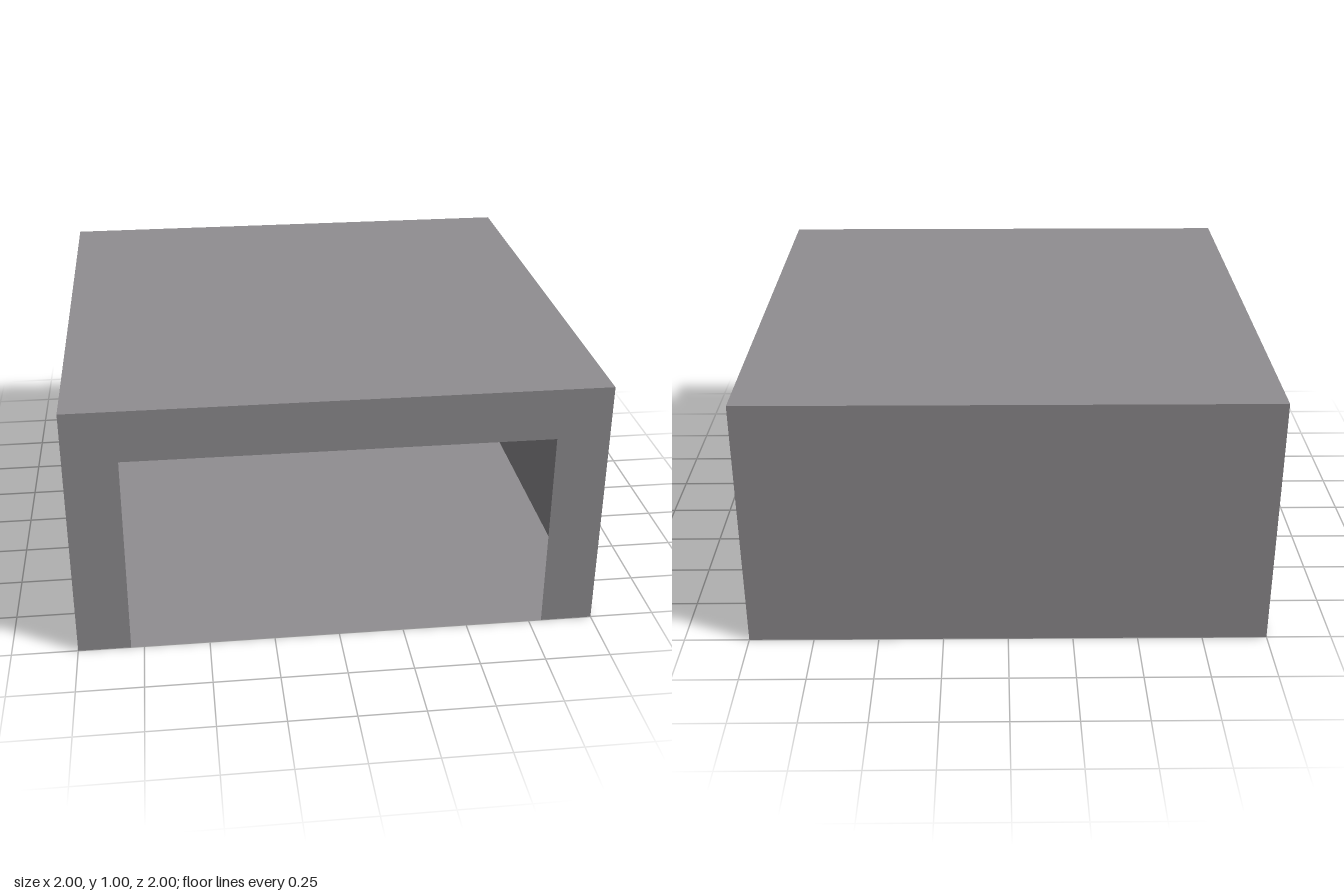
import * as THREE from 'three';

export function createModel() {
  const model = new THREE.Group();
  model.name = 'openFrontedBox';
  const grey = new THREE.MeshStandardMaterial({ color: 0x908e91, side: THREE.DoubleSide });
  grey.name = 'warm grey';

  // Thin panels of the hollow shell, each turned to face outward
  const panel = (name, w, h, pos, rx, ry) => {
    const mesh = new THREE.Mesh(new THREE.PlaneGeometry(w, h), grey);
    mesh.name = name;
    mesh.position.set(...pos);
    mesh.rotation.set(rx, ry, 0);
    model.add(mesh);
  };
  panel('roof', 2, 2, [0, 1, 0], -Math.PI / 2, 0);
  panel('floor', 2, 2, [0, 0, 0], Math.PI / 2, 0);
  panel('backWall', 2, 1, [0, 0.5, -1], 0, Math.PI);
  panel('leftWall', 2, 1, [1, 0.5, 0], 0, Math.PI / 2);
  panel('rightWall', 2, 1, [-1, 0.5, 0], 0, -Math.PI / 2);

  // Flat front frame around the doorway, which reaches the floor
  const outline = [[-1, 0], [-0.8, 0], [-0.8, 0.8], [0.8, 0.8], [0.8, 0], [1, 0], [1, 1], [-1, 1]];
  const shape = new THREE.Shape(outline.map(([x, y]) => new THREE.Vector2(x, y)));
  const front = new THREE.Mesh(new THREE.ShapeGeometry(shape), grey);
  front.name = 'frontFrame';
  front.position.z = 1;
  model.add(front);

  return model;
}
